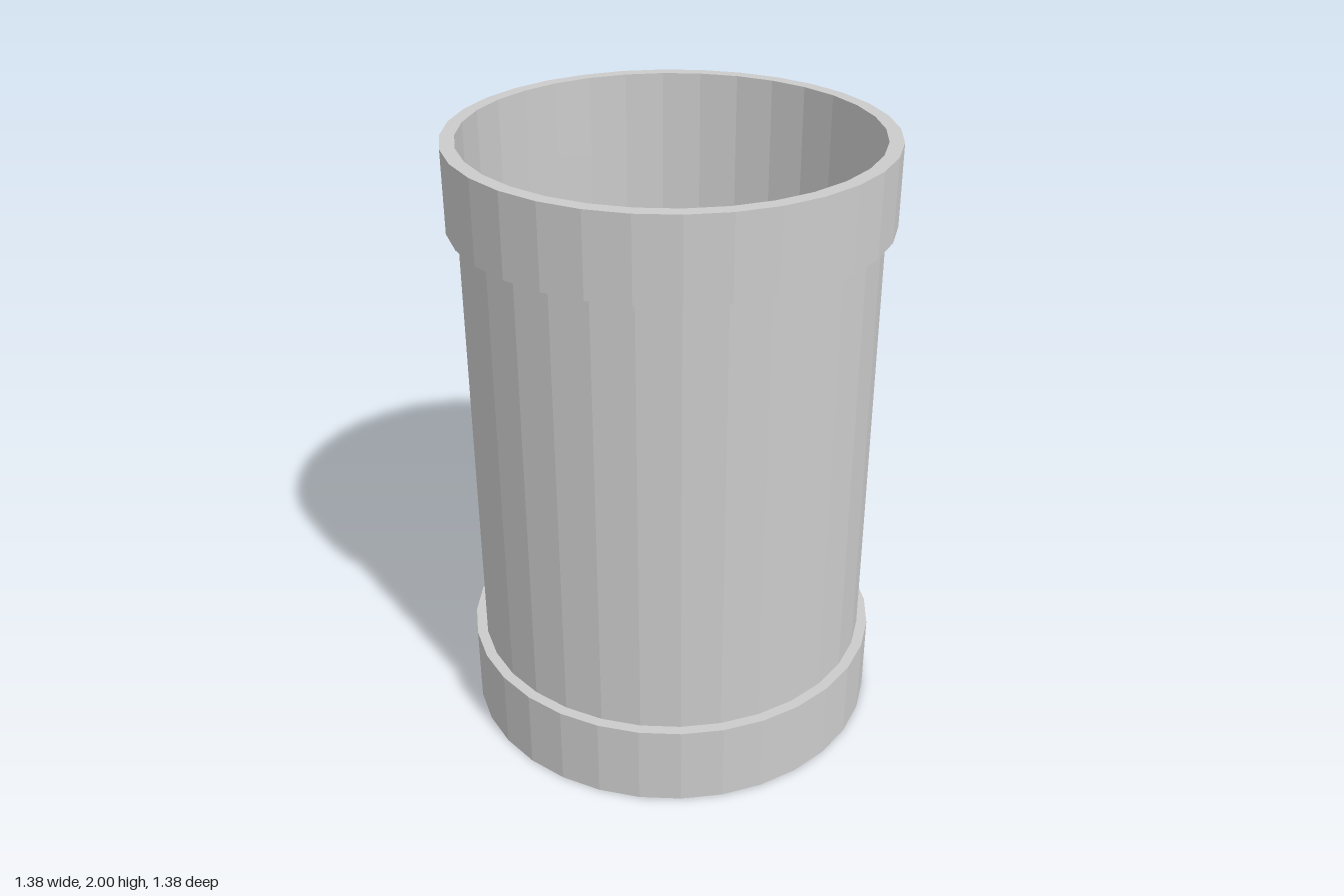
import * as THREE from 'three';

const INNER = 0.645, BODY = 0.655, COLLAR = 0.69;
const LOW = 0.27, HIGH = 1.74, TOP = 2;
const SIDES = 32;

export function createModel() {
  const group = new THREE.Group();
  group.name = 'pipeSection';
  const material = new THREE.MeshStandardMaterial({ color: 0xcccccc, flatShading: true });

  // Spins a profile of [radius, height] points around the y axis
  const addRing = (name, profile) => {
    const points = profile.map(([r, y]) => new THREE.Vector2(r, y));
    const mesh = new THREE.Mesh(new THREE.LatheGeometry(points, SIDES), material);
    mesh.name = name;
    group.add(mesh);
  };

  // Thin tube between the collars
  addRing('bodyTube', [[INNER, LOW], [BODY, LOW], [BODY, HIGH], [INNER, HIGH], [INNER, LOW]]);

  // Thicker collars, flush with the tube on the inside and stepped on the outside
  addRing('bottomCollar', [[INNER, LOW], [INNER, 0], [COLLAR, 0], [COLLAR, LOW], [BODY, LOW]]);
  addRing('topCollar', [[BODY, HIGH], [COLLAR, HIGH], [COLLAR, TOP], [INNER, TOP], [INNER, HIGH]]);

  return group;
}
